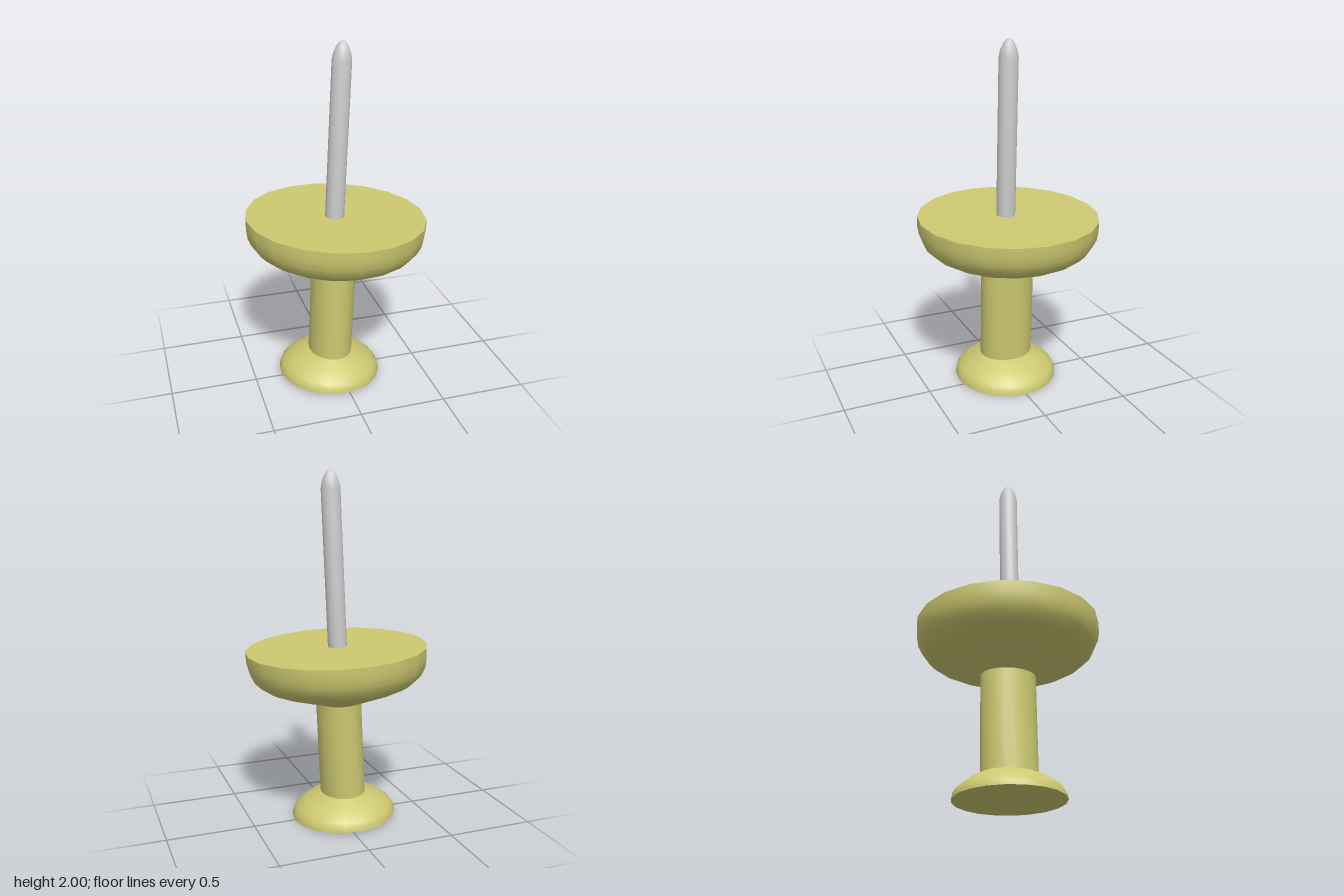
import * as THREE from 'three';
import { toCreasedNormals } from 'three/addons/utils/BufferGeometryUtils.js';

const STEM_X = 0.127; // stem is oval: narrower in x
const STEM_Z = 0.155;

// Lathed part; rings at the stem radius are squeezed to the oval stem section
function turned(name, profile, material) {
  const lathe = new THREE.LatheGeometry(profile.map(([r, y]) => new THREE.Vector2(r, y)), 20);
  const p = lathe.attributes.position;
  for (let i = 0; i < p.count; i++) {
    if (Math.abs(Math.hypot(p.getX(i), p.getZ(i)) - STEM_Z) < 1e-4) {
      p.setX(i, p.getX(i) * STEM_X / STEM_Z);
    }
  }
  const mesh = new THREE.Mesh(toCreasedNormals(lathe, 0.65), material);
  mesh.name = name;
  return mesh;
}

export function createModel() {
  const plastic = new THREE.MeshStandardMaterial({ color: 0xccc870 });
  const metal = new THREE.MeshStandardMaterial({ color: 0xcccccc });

  // Whole pin leans slightly towards +x
  const pin = new THREE.Group();
  pin.name = 'pushPin';
  pin.rotation.z = -0.0454;
  pin.position.set(-0.046, 0.0136, 0);

  // Small rounded foot
  pin.add(turned('foot', [
    [0, 0], [0.302, 0], [0.298, 0.025], [0.283, 0.05], [0.255, 0.075], [0.22, 0.1], [STEM_Z, 0.138],
  ], plastic));

  // Oval stem
  pin.add(turned('stem', [[STEM_Z, 0.138], [STEM_Z, 0.69]], plastic));

  // Wide bowl-shaped collar with a flat top
  pin.add(turned('collar', [
    [STEM_Z, 0.69], [0.41, 0.792], [0.45, 0.815], [0.484, 0.85], [0.506, 0.895],
    [0.515, 0.945], [0.515, 1.003], [0, 1.003],
  ], plastic));

  // Metal needle with an ogive tip, a little off the collar's centre
  const needle = turned('needle', [
    [0, 0.99], [0.054, 0.99], [0.054, 1.885], [0.046, 1.925], [0.031, 1.96], [0.015, 1.98], [0, 1.987],
  ], metal);
  needle.position.set(-0.011, 0, 0.011);
  pin.add(needle);

  const model = new THREE.Group();
  model.add(pin);
  return model;
}
